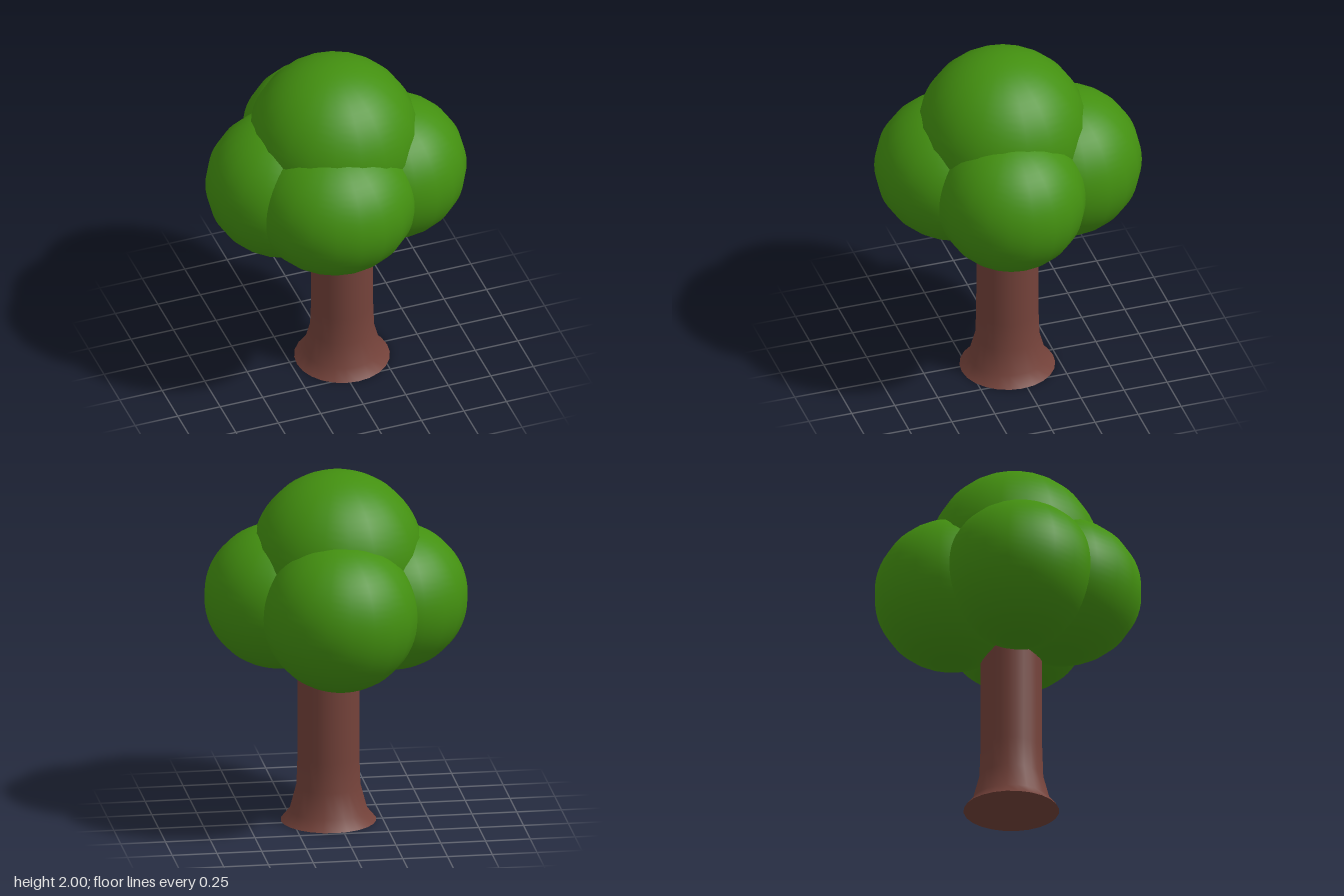
import * as THREE from 'three';

export function createModel() {
  const tree = new THREE.Group();
  tree.name = 'tree';
  const leafGreen = new THREE.MeshStandardMaterial({ name: 'leaf green', color: 0x439010 });
  const barkBrown = new THREE.MeshStandardMaterial({ name: 'bark brown', color: 0x74423a });

  // Trunk: flared at the foot, running up inside the crown
  const profile = [[0.265, 0], [0.215, 0.06], [0.178, 0.2], [0.172, 0.37], [0.17, 1.25]]
    .map(([r, y]) => new THREE.Vector2(r, y));
  const trunk = new THREE.Mesh(new THREE.LatheGeometry(profile, 24), barkBrown);
  trunk.name = 'trunk';
  trunk.position.set(0.047, 0, 0.03);
  tree.add(trunk);

  // Flat underside of the trunk
  const base = new THREE.Mesh(new THREE.CircleGeometry(0.265, 24), barkBrown);
  base.name = 'trunkBase';
  base.rotation.x = Math.PI / 2;
  base.position.copy(trunk.position);
  tree.add(base);

  // Crown: overlapping, slightly squashed balls [name, centre, radii]
  const crown = new THREE.Group();
  crown.name = 'crown';
  const balls = [
    ['topFoliage', [-0.005, 1.525, 0.04], [0.475, 0.475, 0.475]],
    ['frontFoliage', [-0.09, 1.29, 0.285], [0.455, 0.405, 0.45]],
    ['backFoliage', [0.03, 1.28, -0.305], [0.43, 0.425, 0.43]],
    ['leftFoliage', [0.312, 1.29, 0.095], [0.418, 0.407, 0.415]],
    ['rightFoliage', [-0.3, 1.28, 0.03], [0.43, 0.412, 0.425]],
  ];
  const ball = new THREE.SphereGeometry(1, 20, 32);
  for (const [name, centre, radii] of balls) {
    const foliage = new THREE.Mesh(ball, leafGreen);
    foliage.name = name;
    foliage.position.set(...centre);
    foliage.scale.set(...radii);
    crown.add(foliage);
  }
  tree.add(crown);
  return tree;
}
